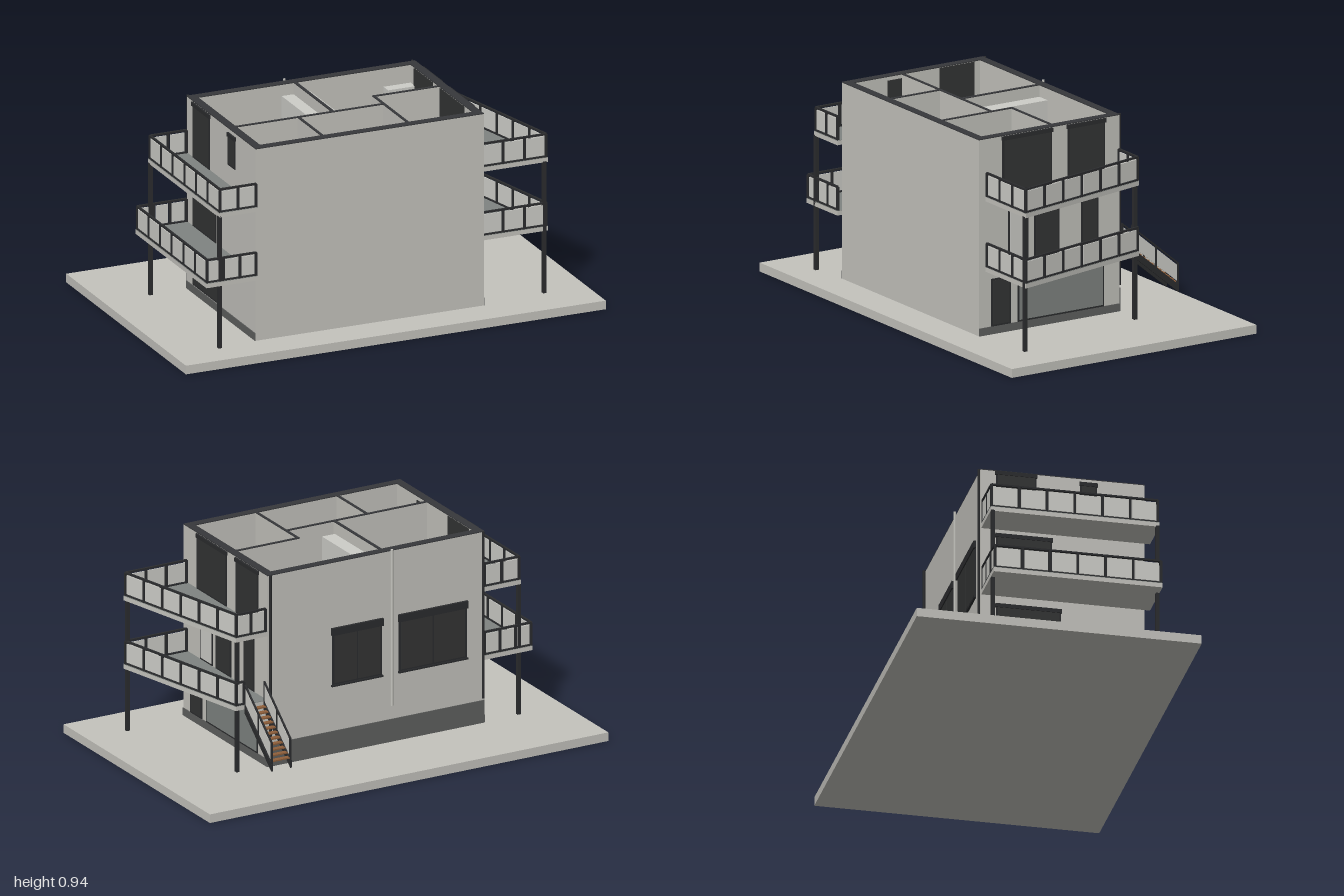
import * as THREE from 'three';

const mat = (name, color) => Object.assign(new THREE.MeshStandardMaterial({ color }), { name });
const M = {
  wall: mat('wall plaster', 0xc4c3bd),
  dark: mat('dark metal', 0x2b2c2e),
  cap: mat('wall cap', 0x37383b),
  pane: mat('dark window', 0x333434),
  grey: mat('grey tile', 0x7f8481),
  floor: mat('wood floor', 0x9c8a76),
  wood: mat('brown wood', 0x8f5f3a),
  plinth: mat('plinth grey', 0x5f605f),
  light: mat('light panel', 0xcdcdc8),
  slate: mat('slate fabric', 0x5c6064),
};

export function createModel() {
  const root = new THREE.Group();
  root.name = 'house';

  const add = (name, geo, m, parent = root) => {
    const mesh = new THREE.Mesh(geo, m);
    mesh.name = name;
    parent.add(mesh);
    return mesh;
  };
  // box from min/max limits
  const box = (name, m, x0, x1, y0, y1, z0, z1, parent = root) => {
    const b = add(name, new THREE.BoxGeometry(x1 - x0, y1 - y0, z1 - z0), m, parent);
    b.position.set((x0 + x1) / 2, (y0 + y1) / 2, (z0 + z1) / 2);
    return b;
  };
  const shapeOf = (pts) => new THREE.Shape(pts.map((p) => new THREE.Vector2(p[0], p[1])));
  // horizontal slab: outline in x,z, top at y
  const slab = (name, m, pts, y, h, parent = root) => {
    const g = new THREE.ExtrudeGeometry(shapeOf(pts), { depth: h, bevelEnabled: false });
    g.rotateX(Math.PI / 2);
    add(name, g, m, parent).position.y = y;
  };
  // upright plate: outline in z,y, between x0 and x1
  const sidePlate = (name, m, pts, x0, x1, parent = root) => {
    const g = new THREE.ExtrudeGeometry(shapeOf(pts), { depth: x1 - x0, bevelEnabled: false });
    g.rotateY(-Math.PI / 2);
    add(name, g, m, parent).position.x = x1;
  };

  // ground and shell
  const X0 = -0.595, X1 = 0.492, Z0 = -0.258, Z1 = 0.473, T = 0.037, TOP = 0.93, F = 0.665;
  box('ground', M.wall, -1, 1, 0, 0.04, -0.635, 0.635);
  const wall = (name, x0, x1, z0, z1, y0 = 0.04) => {
    box(name, M.wall, x0, x1, y0, TOP - 0.004, z0, z1);
    box(name + 'Cap', M.cap, x0, x1, TOP - 0.004, TOP, z0, z1);
  };
  wall('frontWall', X0, X1, Z1 - T, Z1);
  wall('backWall', X0, X1, Z0, Z0 + T);
  wall('rightWall', X0, X0 + T, Z0 + T, Z1 - T);
  wall('leftWall', X1 - T, X1, Z0 + T, Z1 - T);
  for (const y of [0.05, 0.35, F]) box('storeyFloor', M.floor, X0 + T, X1 - T, y - 0.02, y, Z0 + T, Z1 - T);

  // plinth strips
  box('backPlinth', M.plinth, X0, X1, 0.04, 0.145, Z0 - 0.004, Z0);
  box('leftPlinth', M.plinth, X1, X1 + 0.004, 0.04, 0.075, Z0, Z1);
  box('rightPlinth', M.plinth, X0 - 0.004, X0, 0.04, 0.075, Z0, Z1);

  // top storey partitions
  wall('bedroomPartition', -0.102, -0.088, Z0 + T, 0.18, F);
  wall('hallPartition', X0 + T, 0.15, 0.175, 0.187, F);
  wall('bathPartition', -0.267, -0.255, 0.187, Z1 - T, F);
  wall('studyPartition', 0.14, 0.152, 0.07, Z1 - T, F);
  wall('studyBackPartition', 0.152, X1 - T, 0.07, 0.082, F);

  // furniture: x0, x1, z0, z1, height
  const item = (name, m, x0, x1, z0, z1, h, base = 0) => box(name, m, x0, x1, F + base, F + base + h, z0, z1);
  item('bathFloor', M.grey, X0 + T, -0.267, 0.187, Z1 - T, 0.003);
  item('doubleBed', M.grey, -0.465, -0.272, -0.22, 0, 0.05);
  item('nightstand', M.light, -0.515, -0.47, -0.22, -0.175, 0.05);
  item('nightstand', M.light, -0.267, -0.2, -0.22, -0.175, 0.05);
  item('dresser', M.light, -0.44, -0.295, 0.138, 0.174, 0.08);
  item('wardrobe', M.light, -0.16, -0.103, -0.22, 0.174, 0.21);
  item('wardrobe', M.light, -0.087, -0.022, -0.22, 0.16, 0.21);
  item('singleBed', M.grey, 0.113, 0.315, -0.22, -0.123, 0.05);
  item('nightstand', M.light, 0.06, 0.105, -0.22, -0.175, 0.05);
  item('cabinet', M.light, 0.325, 0.454, -0.22, -0.17, 0.18);
  item('studyBed', M.grey, 0.165, 0.375, 0.362, 0.435, 0.05);
  item('studyWardrobe', M.light, 0.39, 0.454, 0.31, 0.415, 0.21);
  item('bathtub', M.light, -0.535, -0.465, 0.255, 0.395, 0.055);
  item('washbasin', M.light, -0.41, -0.35, 0.2, 0.24, 0.08);
  item('toilet', M.light, -0.505, -0.455, 0.41, 0.435, 0.05);
  item('radiator', M.dark, -0.36, -0.275, 0.427, 0.436, 0.08);
  item('stairLanding', M.light, -0.255, 0.14, 0.355, 0.435, 0.004);
  slab('stairWinder', M.wood, [[0.02, 0.36], [0.138, 0.36], [0.138, 0.433]], F + 0.015, 0.01);
  const desk = (x0, x1, z0, z1) => {
    item('deskTop', M.wood, x0, x1, z0, z1, 0.008, 0.075);
    for (const x of [x0, x1 - 0.008]) for (const z of [z0, z1 - 0.008]) item('deskLeg', M.wood, x, x + 0.008, z, z + 0.008, 0.075);
  };
  desk(0.15, 0.355, 0.005, 0.069);
  desk(0.39, 0.454, 0.108, 0.23);
  item('chair', M.slate, 0.23, 0.285, -0.052, -0.005, 0.05);
  item('chair', M.slate, 0.29, 0.355, 0.13, 0.193, 0.05);

  // side openings; s = +1 left wall, -1 right wall
  const opening = (name, s, z0, z1, y0, y1, m = M.pane, header = true, inside = true) => {
    const g = new THREE.Group();
    g.name = name;
    root.add(g);
    const xf = s > 0 ? X1 : X0;
    const plate = (n, mm, t, ya, yb, za, zb) => box(n, mm, s > 0 ? xf : xf - t, s > 0 ? xf + t : xf, ya, yb, za, zb, g);
    plate('frame', M.dark, 0.004, y0, y1, z0, z1);
    plate('pane', m, 0.006, y0 + 0.008, y1 - 0.008, z0 + 0.008, z1 - 0.008);
    if (header) plate('shutterBox', M.dark, 0.009, y1 - 0.018, y1, z0 - 0.003, z1 + 0.003);
    const xi = xf - s * T;
    if (inside) box('innerPane', m, Math.min(xi, xi - s * 0.004), Math.max(xi, xi - s * 0.004), y0, y1, z0, z1, g);
  };
  opening('groundDoor', 1, 0.31, 0.41, 0.075, 0.29, M.pane, false);
  opening('groundGlazing', 1, -0.175, 0.272, 0.075, 0.292, M.grey, false);
  opening('middleDoor', 1, 0.217, 0.322, 0.352, 0.602, M.light, false);
  opening('middleWindow', 1, 0.057, 0.187, 0.352, 0.626);
  opening('middleNarrowWindow', 1, -0.145, -0.056, 0.352, 0.626);
  opening('topWindow', 1, 0.095, 0.352, F + 0.004, 0.925);
  opening('topNarrowWindow', 1, -0.18, 0.014, F + 0.004, 0.925);
  opening('topRightWindow', -1, -0.19, -0.01, F + 0.004, 0.925);
  opening('bathWindow', -1, 0.185, 0.26, 0.76, 0.91);
  opening('middleRightWindow', -1, -0.19, 0.06, 0.352, 0.626);
  opening('groundRightWindow', -1, -0.19, 0.1, 0.08, 0.29);

  // back windows
  for (const [x0, x1] of [[-0.505, -0.165], [-0.08, 0.17]]) {
    box('backFrame', M.dark, x0, x1, 0.358, 0.62, Z0 - 0.005, Z0);
    const mid = (x0 + x1) / 2;
    for (const [a, b] of [[x0 + 0.01, mid - 0.004], [mid + 0.004, x1 - 0.01]]) box('backPane', M.pane, a, b, 0.368, 0.61, Z0 - 0.007, Z0);
    box('backShutterBox', M.dark, x0 - 0.004, x1 + 0.004, 0.59, 0.624, Z0 - 0.012, Z0);
    box('backSill', M.dark, x0 - 0.004, x1 + 0.004, 0.352, 0.36, Z0 - 0.01, Z0);
  }

  // downpipes
  const pipe = (name, m, x, z, y0, y1, r) => add(name, new THREE.CylinderGeometry(r, r, y1 - y0, 12), m).position.set(x, (y0 + y1) / 2, z);
  pipe('cornerDownpipe', M.dark, X1 - 0.01, Z0 - 0.006, 0.155, TOP, 0.006);
  pipe('cornerDownpipe', M.dark, X0 + 0.008, Z0 - 0.006, 0.155, TOP, 0.006);
  pipe('ventPipe', M.wall, -0.127, Z0 - 0.008, 0.21, TOP + 0.005, 0.006);

  // railing from a to b (x,z) with n panels
  const railing = (a, b, y, n) => {
    const g = new THREE.Group();
    g.name = 'railing';
    g.position.set(a[0], y, a[1]);
    g.rotation.y = Math.atan2(a[1] - b[1], b[0] - a[0]);
    root.add(g);
    const L = Math.hypot(b[0] - a[0], b[1] - a[1]), w = L / n;
    box('topRail', M.dark, 0, L, 0.102, 0.11, -0.005, 0.005, g);
    box('bottomRail', M.dark, 0, L, 0, 0.006, -0.004, 0.004, g);
    for (let i = 0; i <= n; i++) {
      box('railPost', M.dark, i * w - 0.005, i * w + 0.005, 0, 0.105, -0.005, 0.005, g);
      if (i < n) box('railPanel', M.light, i * w + 0.009, (i + 1) * w - 0.009, 0.009, 0.096, -0.002, 0.002, g);
    }
  };
  const deck = (pts, y) => {
    slab('balconySlab', M.wall, pts, y - 0.002, 0.02);
    slab('balconyTiles', M.grey, pts, y, 0.002);
  };

  // left balconies, slanted outer edge
  for (const y of [0.35, 0.668]) {
    const back = [0.645, -0.25], front = [0.805, 0.435];
    deck([[X1, -0.255], [0.65, -0.255], [0.813, 0.44], [X1, 0.44]], y);
    railing(front, back, y, 6);
    railing([X1 + 0.006, 0.435], front, y, 3);
    if (y > 0.5) railing([X1 + 0.006, -0.25], back, y, 2);
    else railing([0.606, -0.25], back, y, 1);
  }
  // right balconies
  for (const [y, x, n] of [[0.35, -0.84, 3], [0.668, -0.78, 2]]) {
    deck([[x, -0.255], [X0, -0.255], [X0, 0.497], [x, 0.497]], y);
    railing([x + 0.006, -0.25], [x + 0.006, 0.491], y, 6);
    for (const z of [-0.25, 0.491]) railing([x + 0.006, z], [X0 - 0.006, z], y, n);
  }
  // balcony columns
  for (const [x, z] of [[0.797, 0.433], [0.636, -0.242], [-0.774, 0.489], [-0.774, -0.245]]) box('column', M.dark, x - 0.008, x + 0.008, 0.04, 0.65, z - 0.008, z + 0.008);

  // outside stair
  const stair = new THREE.Group();
  stair.name = 'outsideStair';
  root.add(stair);
  const N = 11, zs = -0.258, ze = -0.485;
  for (let i = 0; i < N; i++) {
    const z = zs + ((ze - zs) * i) / N, y = 0.332 - (0.185 * i) / N;
    box('tread', M.wood, 0.512, 0.6, y - 0.006, y, z - 0.023, z, stair);
  }
  const slope = (z) => 0.34 + ((z - zs) * 0.19) / (zs - ze);
  const band = (z0, z1, lo, hi) => [[z0, slope(z0) + lo], [z1, slope(z1) + lo], [z1, slope(z1) + hi], [z0, slope(z0) + hi]];
  for (const x of [0.505, 0.6]) {
    sidePlate('stringer', M.dark, band(-0.49, zs, -0.03, 0.004), x, x + 0.008, stair);
    sidePlate('handrail', M.dark, band(ze, zs, 0.095, 0.103), x, x + 0.008, stair);
    sidePlate('stairPanel', M.light, band(-0.48, -0.378, 0.015, 0.088), x + 0.002, x + 0.006, stair);
    sidePlate('stairPanel', M.light, band(-0.366, -0.264, 0.015, 0.088), x + 0.002, x + 0.006, stair);
    for (const z of [-0.26, -0.372, ze]) box('stairPost', M.dark, x, x + 0.008, slope(z) - 0.005, slope(z) + 0.1, z - 0.004, z + 0.004, stair);
  }
  return root;
}
